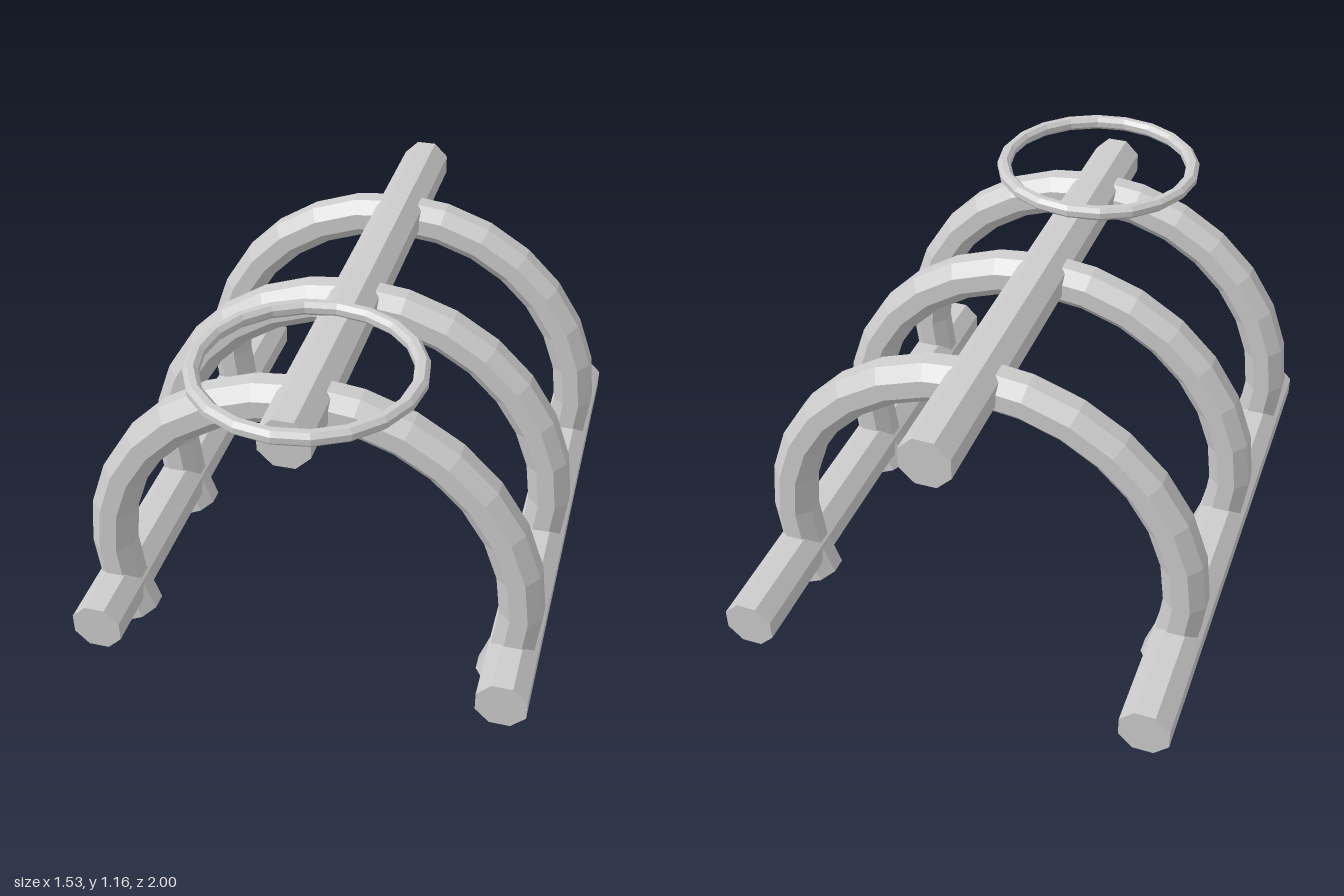
import * as THREE from 'three';
import { mergeGeometries } from 'three/addons/utils/BufferGeometryUtils.js';

const ARCH_RADIUS = 0.694, ARCH_Y = 0.332, ARCH_HALF = THREE.MathUtils.degToRad(810 / 7);

// Closed octagon with flat sides facing outwards, in (radius, height)
function octagon(centre, apothem) {
  const r = apothem / Math.cos(Math.PI / 8);
  return Array.from({ length: 9 }, (_, i) => {
    const a = Math.PI / 8 + i * Math.PI / 4;
    return new THREE.Vector2(centre + r * Math.cos(a), r * Math.sin(a));
  });
}

// Octagonal bar swept round an arc, with both feet capped
function archGeometry(apothem) {
  const sweep = new THREE.LatheGeometry(octagon(ARCH_RADIUS, apothem), 18, -ARCH_HALF, 2 * ARCH_HALF);
  sweep.rotateX(-Math.PI / 2);
  const caps = [-1, 1].map((side) => {
    const cap = new THREE.CircleGeometry(apothem / Math.cos(Math.PI / 8), 8, Math.PI / 8);
    cap.rotateY(side * Math.PI / 2);
    cap.translate(0, ARCH_RADIUS, 0);
    cap.rotateZ(-side * ARCH_HALF);
    return cap;
  });
  return mergeGeometries([sweep, ...caps]);
}

export function createModel() {
  const group = new THREE.Group();
  const grey = new THREE.MeshStandardMaterial({ color: 0xcccccc, flatShading: true });
  grey.name = 'light grey';

  const add = (name, geometry, x, y, z) => {
    const mesh = new THREE.Mesh(geometry, grey);
    mesh.name = name;
    mesh.position.set(x, y, z);
    group.add(mesh);
  };

  // Three long octagonal beams
  const beam = new THREE.CylinderGeometry(0.0885, 0.0885, 1.88, 8);
  beam.rotateY(Math.PI / 8).rotateX(Math.PI / 2);
  add('ridgeBeam', beam, 0, 1.04, -0.06);
  add('leftRail', beam, 0.68, 0.143, -0.06);
  add('rightRail', beam, -0.68, 0.143, -0.06);

  // Three arches
  const arch = archGeometry(0.07);
  [['frontArch', 0.633], ['middleArch', 0.045], ['backArch', -0.581]]
    .forEach(([name, z]) => add(name, arch, 0, ARCH_Y, z));

  // Thin ring lying above the front arch
  add('ring', new THREE.LatheGeometry(octagon(0.343, 0.0235), 20), 0, 1.142, 0.633);

  return group;
}
